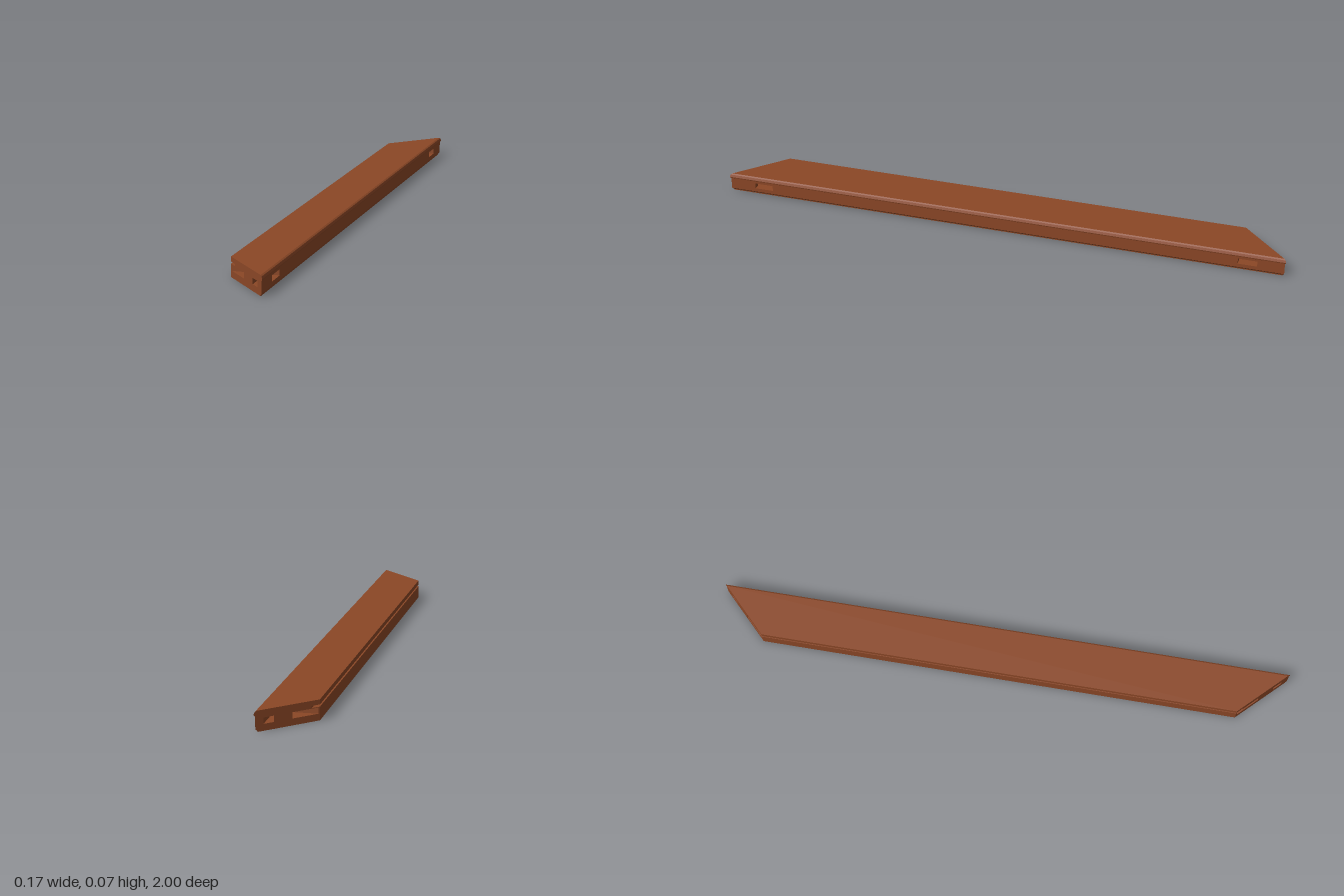
import * as THREE from 'three';
import { mergeGeometries } from 'three/addons/utils/BufferGeometryUtils.js';

const MITRE = 0.917;              // 45 degree end cut: z = x + MITRE
const OUT = 0.079;                // x of the outer side face
const Y0 = 0.022, Y1 = 0.042;     // mortise floor and ceiling
const Z0 = 0.838, Z1 = 0.904;     // mortise sides
const P0 = 0.033, P1 = 0.059;     // dowel pocket sides

// Cross-section, anticlockwise; the first edge is the outer side face
const profile = [
  [OUT, 0.009], [OUT, 0.05], [0.082, 0.052], [0.083, 0.056], [0.08, 0.064], [0.075, 0.067],
  [-0.083, 0.067], [-0.083, 0.051], [-0.062, 0.051], [-0.062, 0.044], [-0.083, 0.044],
  [-0.083, 0], [0.074, 0], [0.074, 0.003],
];

// Plan (x, z) of the mortise and its dowel pocket
const plan = [
  [Z0 - MITRE, Z0], [OUT, Z0], [OUT, Z1], [P1, Z1], [P1, P1 + MITRE],
  [P0, P0 + MITRE], [P0, Z1], [Z1 - MITRE, Z1],
];
const openEdges = [1, 4, 7];

const toShape = (pts) => new THREE.Shape(pts.map(([x, y]) => new THREE.Vector2(x, y)));
const rect = (x0, x1, y0, y1) => toShape([[x0, y0], [x0, y1], [x1, y1], [x1, y0]]);

function quad(a, b, c, d) {
  const g = new THREE.BufferGeometry();
  g.setAttribute('position', new THREE.Float32BufferAttribute([a, b, c, a, c, d].flat(), 3));
  return g;
}

// Plain triangles with positions only
function plain(geometry) {
  const g = geometry.index ? geometry.toNonIndexed() : geometry;
  g.deleteAttribute('uv');
  g.deleteAttribute('normal');
  return g;
}

// Reverse the facing of every triangle
function flip(geometry) {
  const p = geometry.attributes.position;
  for (let i = 0; i < p.count; i += 3) {
    const b = [p.getX(i + 1), p.getY(i + 1), p.getZ(i + 1)];
    p.setXYZ(i + 1, p.getX(i + 2), p.getY(i + 2), p.getZ(i + 2));
    p.setXYZ(i + 2, ...b);
  }
  return geometry;
}

function join(parts) {
  const g = mergeGeometries(parts);
  g.computeVertexNormals();
  return g;
}

// Long moulded faces running between the two mitres
function railGeometry() {
  const parts = [];
  profile.forEach(([x, y], i) => {
    if (i === 0) return;
    const [u, v] = profile[(i + 1) % profile.length];
    const a = x + MITRE, b = u + MITRE;
    parts.push(quad([x, y, -a], [u, v, -b], [u, v, b], [x, y, a]));
  });
  // Outer side face with a mortise opening near each end
  const face = rect(-OUT - MITRE, OUT + MITRE, profile[0][1], profile[1][1]);
  face.holes.push(rect(Z0, Z1, Y0, Y1), rect(-Z1, -Z0, Y0, Y1));
  parts.push(plain(new THREE.ShapeGeometry(face).rotateY(Math.PI / 2).translate(OUT, 0, 0)));
  return join(parts);
}

// Mitred end face with the two openings
function mitreGeometry() {
  const shape = toShape(profile);
  shape.holes.push(rect(Z0 - MITRE, Z1 - MITRE, Y0, Y1), rect(P0, P1, Y0, Y1));
  const g = plain(new THREE.ShapeGeometry(shape));
  const p = g.attributes.position;
  for (let i = 0; i < p.count; i++) p.setZ(i, p.getX(i) + MITRE);
  return join([g]);
}

// Inner walls, floor and ceiling of the mortise
function mortiseGeometry() {
  const ceiling = plain(new THREE.ShapeGeometry(toShape(plan)).rotateX(Math.PI / 2));
  const floor = flip(ceiling.clone()).translate(0, Y0, 0);
  const parts = [floor, ceiling.translate(0, Y1, 0)];
  plan.forEach(([x, z], i) => {
    if (openEdges.includes(i)) return;
    const [u, w] = plan[(i + 1) % plan.length];
    parts.push(quad([x, Y0, z], [u, Y0, w], [u, Y1, w], [x, Y1, z]));
  });
  return join(parts);
}

// Copy for the other end
function mirrored(geometry) {
  const g = flip(geometry.clone().scale(1, 1, -1));
  g.computeVertexNormals();
  return g;
}

export function createModel() {
  const group = new THREE.Group();
  group.name = 'mitredFrameRail';
  const wood = new THREE.MeshStandardMaterial({ color: 0x8b4726, side: THREE.DoubleSide });
  wood.name = 'brown wood';

  const add = (name, geometry) => {
    const mesh = new THREE.Mesh(geometry, wood);
    mesh.name = name;
    group.add(mesh);
  };
  add('rail', railGeometry());
  const mitre = mitreGeometry(), mortise = mortiseGeometry();
  add('frontMitre', mitre);
  add('backMitre', mirrored(mitre));
  add('frontMortise', mortise);
  add('backMortise', mirrored(mortise));
  return group;
}
